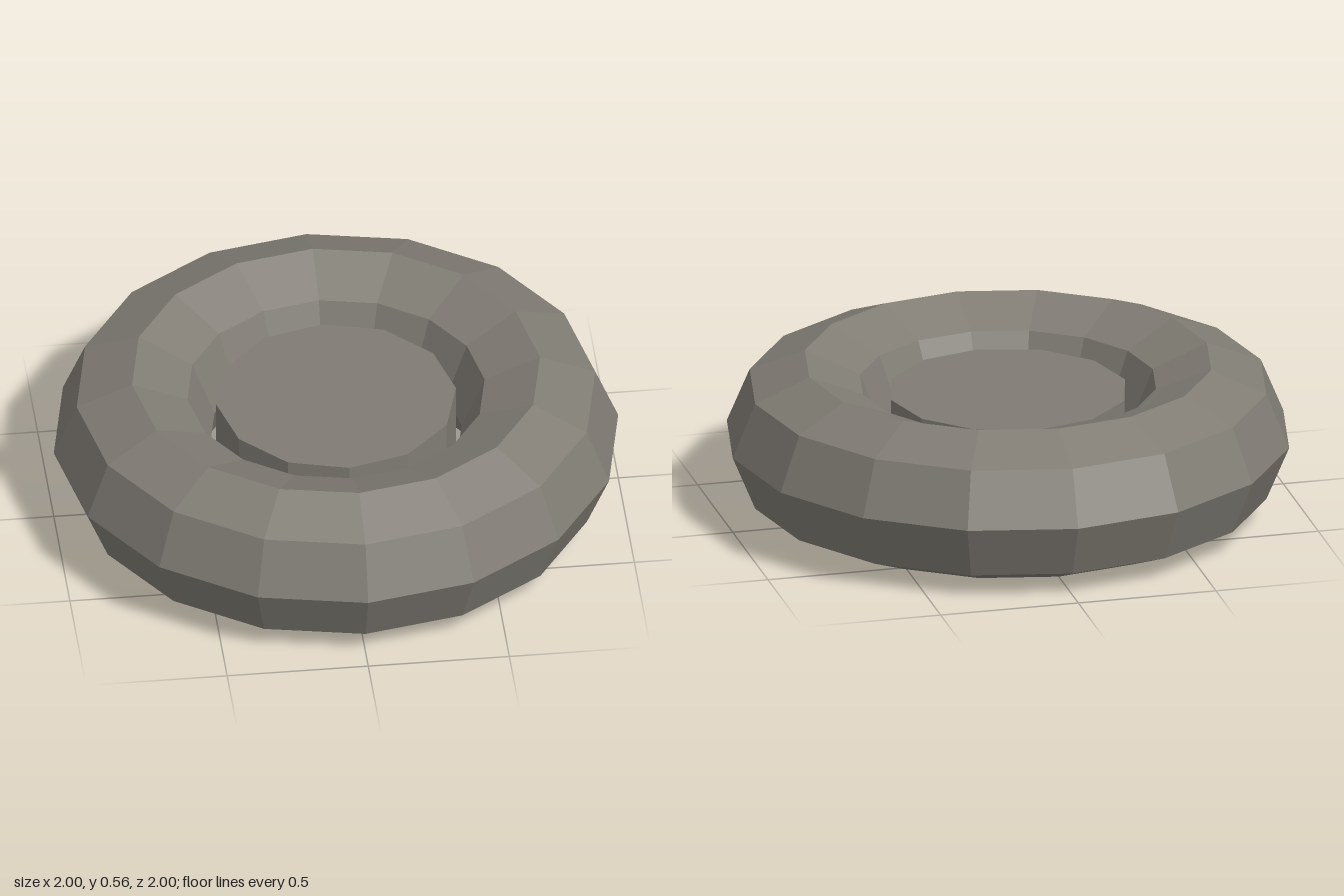
import * as THREE from 'three';

const TUBE = 0.2775;        // radius of the ring's octagonal section
const RING = 1 - TUBE;      // radius of the ring's centre line

export function createModel() {
  const group = new THREE.Group();
  group.name = 'wheel';
  // Dark warm grey, faceted
  const material = new THREE.MeshStandardMaterial({ color: 0x807c74, flatShading: true });

  const add = (name, geometry) => {
    const mesh = new THREE.Mesh(geometry, material);
    mesh.name = name;
    mesh.position.y = TUBE;
    group.add(mesh);
  };

  // Low-poly tyre lying flat
  add('tyre', new THREE.TorusGeometry(RING, TUBE, 8, 16).rotateX(-Math.PI / 2));

  // Separate hub disc floating in the opening
  add('hub', new THREE.CylinderGeometry(0.425, 0.425, 0.333, 12));

  return group;
}
